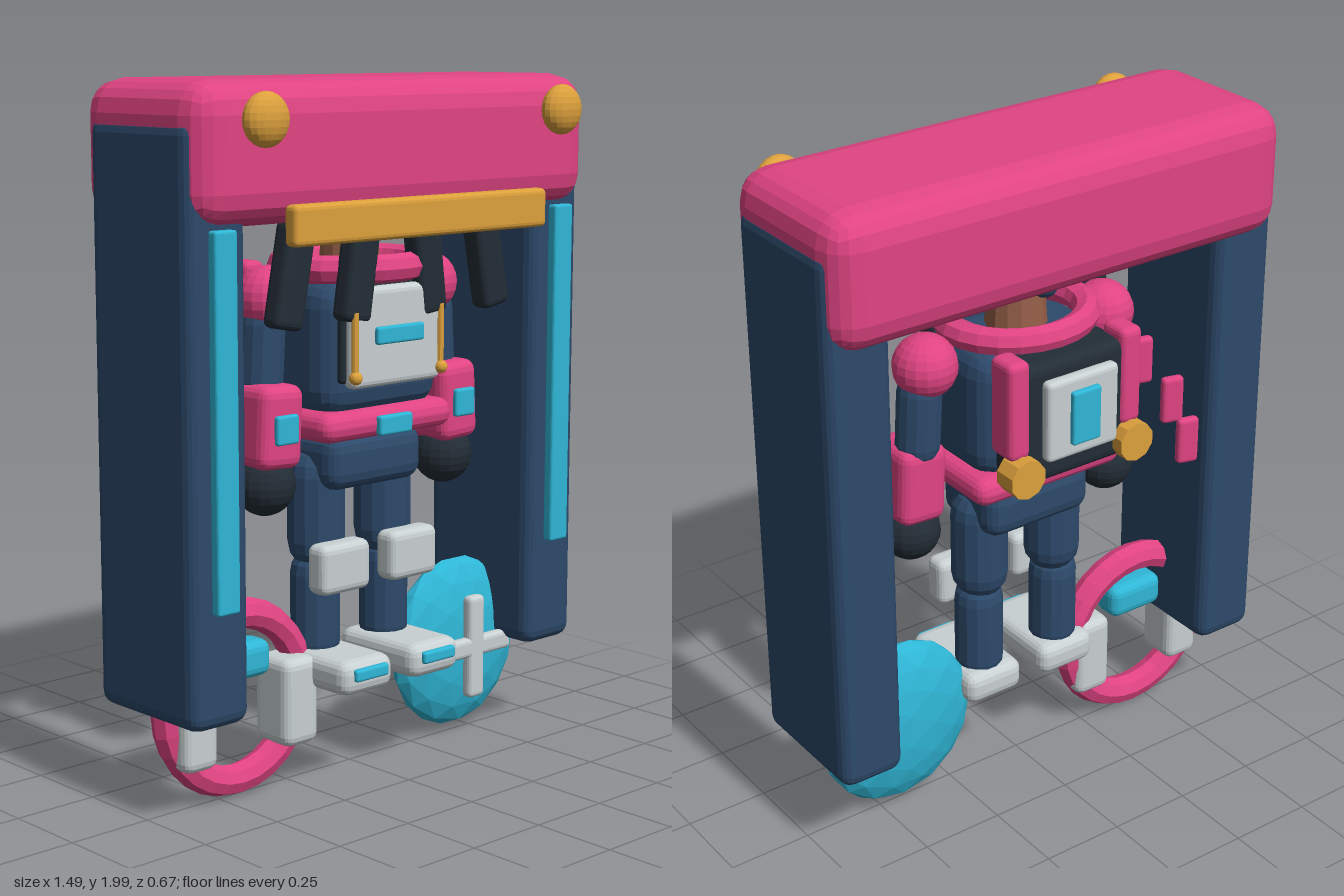
import * as THREE from 'three';
import { RoundedBoxGeometry } from 'three/addons/geometries/RoundedBoxGeometry.js';

const mat = (name, color) => new THREE.MeshStandardMaterial({ name, color, flatShading: true });

export function createModel() {
  const pink = mat('pink', 0xe04482), navy = mat('navy', 0x2d4a6b), cyan = mat('cyan', 0x2fb6d6);
  const gold = mat('gold', 0xdca03c), pale = mat('pale grey', 0xc8d0d2), dark = mat('charcoal', 0x232d36);
  const skin = mat('brown', 0x965f48);
  const model = new THREE.Group();
  model.name = 'framedFigure';

  const group = (name, parent = model) => {
    const g = new THREE.Group();
    g.name = name;
    parent.add(g);
    return g;
  };
  const add = (parent, name, geo, m, x, y, z) => {
    const mesh = new THREE.Mesh(geo, m);
    mesh.name = name;
    mesh.position.set(x, y, z);
    parent.add(mesh);
    return mesh;
  };
  // Rounded box given by its centre and size
  const box = (parent, name, m, x, y, z, w, h, d, r = 0.02) =>
    add(parent, name, new RoundedBoxGeometry(w, h, d, 2, Math.min(r, w / 2.1, h / 2.1, d / 2.1)), m, x, y, z);
  const ball = (parent, name, m, x, y, z, r, sx = 1, sy = 1, sz = 1) => {
    const b = add(parent, name, new THREE.SphereGeometry(r, 18, 12), m, x, y, z);
    b.scale.set(sx, sy, sz);
    return b;
  };
  const rod = (parent, name, m, x, y, z, rTop, rBottom, h, sides = 14) =>
    add(parent, name, new THREE.CylinderGeometry(rTop, rBottom, h, sides), m, x, y, z);

  // Gate: lintel, two posts, light strips and trim
  const gate = group('gate');
  box(gate, 'lintel', pink, 0, 1.81, -0.01, 1.48, 0.38, 0.52, 0.09);
  box(gate, 'trimBar', gold, 0, 1.625, 0.29, 0.96, 0.11, 0.05, 0.015);
  for (const s of [-1, 1]) {
    box(gate, 'post', navy, s * 0.645, 1.095, -0.008, 0.2, 1.61, 0.426, 0.04);
    box(gate, 'lightStrip', cyan, s * 0.645, 1.115, 0.218, 0.075, 1.01, 0.034, 0.008);
    ball(gate, 'knob', gold, s * 0.56, 1.9, 0.292, 0.072, 1, 1, 0.6);
  }

  // Hanging locks across the face
  const locks = group('hangingLocks');
  for (const [x, tilt] of [[-0.375, -0.19], [-0.13, -0.15], [0.13, 0.12], [0.375, 0.19]])
    box(locks, 'lock', dark, x, 1.48, 0.17, 0.1, 0.29, 0.07, 0.02).rotation.z = tilt;

  // Head, hair curls and collar
  const head = group('head');
  ball(head, 'face', skin, 0, 1.72, 0, 0.18);
  rod(head, 'neck', skin, 0, 1.5, 0, 0.08, 0.09, 0.16);
  for (const x of [-0.11, 0, 0.11])
    ball(head, 'curl', navy, x, 1.61, -0.13 + Math.abs(x) * 0.3, 0.04);
  const collar = add(head, 'collar', new THREE.TorusGeometry(0.205, 0.04, 8, 24), pink, 0, 1.475, 0);
  collar.rotation.x = Math.PI / 2;
  collar.scale.y = 0.9;

  // Torso with chest panel, piping and belt
  const torso = group('torso');
  box(torso, 'chest', navy, 0, 1.255, 0, 0.45, 0.39, 0.32, 0.08);
  box(torso, 'chestPanelBacking', dark, 0, 1.3, 0.155, 0.37, 0.27, 0.03, 0.012);
  box(torso, 'chestPanel', pale, 0, 1.29, 0.175, 0.34, 0.28, 0.05, 0.02);
  box(torso, 'chestLight', cyan, 0, 1.295, 0.205, 0.18, 0.05, 0.02, 0.008);
  for (const s of [-1, 1]) {
    rod(torso, 'piping', gold, s * 0.165, 1.27, 0.2, 0.01, 0.01, 0.19, 8);
    ball(torso, 'pipingEnd', gold, s * 0.165, 1.185, 0.203, 0.019);
  }
  box(torso, 'belt', pink, 0, 1.043, 0, 0.5, 0.085, 0.36, 0.04);
  box(torso, 'buckle', cyan, 0, 1.038, 0.185, 0.125, 0.056, 0.025, 0.008);
  box(torso, 'pelvis', navy, 0, 0.93, 0, 0.36, 0.16, 0.26, 0.05);

  // Backpack with straps and round vents
  const pack = group('backpack');
  box(pack, 'packBody', dark, 0, 1.27, -0.205, 0.36, 0.36, 0.14, 0.03);
  box(pack, 'packPlate', pale, 0, 1.29, -0.295, 0.24, 0.24, 0.04, 0.015);
  box(pack, 'packLight', cyan, 0, 1.29, -0.318, 0.095, 0.16, 0.026, 0.008);
  for (const s of [-1, 1]) {
    box(pack, 'packStrap', pink, s * 0.19, 1.335, -0.235, 0.07, 0.29, 0.1, 0.02);
    rod(pack, 'vent', gold, s * 0.187, 1.145, -0.28, 0.058, 0.058, 0.07, 10).rotation.x = Math.PI / 2;
  }

  // Ribbon trailing from the right shoulder
  const ribbon = group('ribbon');
  for (const [x, y, z] of [[-0.255, 1.35, -0.24], [-0.325, 1.23, -0.295], [-0.365, 1.1, -0.32]])
    box(ribbon, 'ribbonLink', pink, x, y, z, 0.065, 0.14, 0.03, 0.012).rotation.y = -0.25;

  // Arms and legs, mirrored
  for (const s of [-1, 1]) {
    const arm = group(s > 0 ? 'leftArm' : 'rightArm');
    ball(arm, 'shoulder', pink, s * 0.305, 1.4, 0, 0.092);
    const upper = add(arm, 'upperArm', new THREE.CapsuleGeometry(0.064, 0.16, 4, 14), navy, s * 0.33, 1.25, 0);
    upper.rotation.z = s * 0.06;
    box(arm, 'forearm', pink, s * 0.343, 1.055, 0.03, 0.15, 0.235, 0.17, 0.035).rotation.z = s * 0.05;
    box(arm, 'forearmLight', cyan, s * 0.345, 1.053, 0.12, 0.078, 0.082, 0.022, 0.008);
    ball(arm, 'hand', dark, s * 0.348, 0.89, 0.03, 0.088);

    const leg = group(s > 0 ? 'leftLeg' : 'rightLeg');
    add(leg, 'thigh', new THREE.CapsuleGeometry(0.084, 0.19, 4, 14), navy, s * 0.13, 0.79, 0);
    add(leg, 'shin', new THREE.CapsuleGeometry(0.072, 0.2, 4, 14), navy, s * 0.135, 0.5, 0);
    box(leg, 'kneePad', pale, s * 0.133, 0.635, 0.1, 0.185, 0.145, 0.08, 0.025);
    box(leg, 'boot', pale, s * 0.133, 0.34, 0.07, 0.195, 0.1, 0.32, 0.035);
    box(leg, 'toeLight', cyan, s * 0.133, 0.352, 0.228, 0.125, 0.035, 0.03, 0.008);
  }

  // Hoop with grips, beside the right foot
  const hoop = group('hoop');
  add(hoop, 'hoopRing', new THREE.TorusGeometry(0.239, 0.044, 8, 28), pink, -0.44, 0.293, 0);
  box(hoop, 'outerGrip', pale, -0.613, 0.265, 0.01, 0.117, 0.27, 0.14, 0.03);
  box(hoop, 'innerGrip', pale, -0.262, 0.26, 0.02, 0.125, 0.255, 0.15, 0.03);
  box(hoop, 'hoopLight', cyan, -0.44, 0.403, 0.01, 0.19, 0.105, 0.1, 0.03);

  // Faceted shield with a cross, beside the left foot
  const shield = group('shield');
  const disc = add(shield, 'shieldDisc', new THREE.IcosahedronGeometry(0.262, 2), cyan, 0.435, 0.29, -0.005);
  disc.scale.set(0.96, 1, 0.31);
  box(shield, 'crossUpright', pale, 0.433, 0.29, 0.085, 0.064, 0.315, 0.04, 0.015);
  box(shield, 'crossArm', pale, 0.433, 0.29, 0.085, 0.295, 0.06, 0.038, 0.015);

  return model;
}
